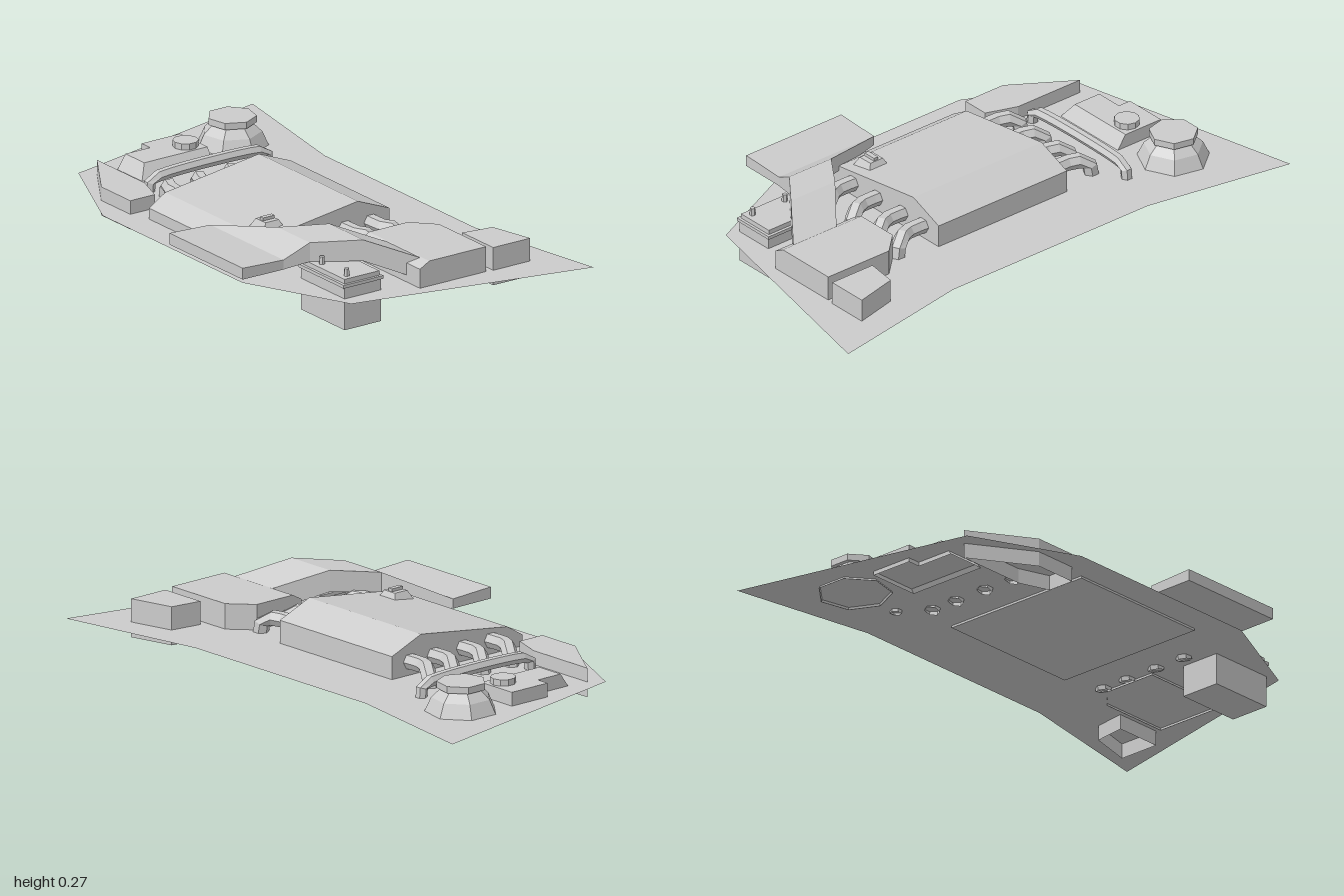
import * as THREE from 'three';

const mat = new THREE.MeshStandardMaterial({ color: 0xcccccc, flatShading: true, side: THREE.DoubleSide });
const FLOOR = 0.115; // height of the base sheet
const SKIRT = 0.107; // open shells reach just through the sheet

function mesh(name, geometry, x = 0, y = 0, z = 0) {
  const m = new THREE.Mesh(geometry, mat);
  m.name = name;
  m.position.set(x, y, z);
  return m;
}

// Skin a list of equal-length rings of [x, y, z]; caps are fans from each ring's first corner
function loft(rings, capStart = true, capEnd = true) {
  const tris = [];
  const n = rings[0].length;
  for (let r = 0; r < rings.length - 1; r++) {
    const a = rings[r], b = rings[r + 1];
    for (let i = 0; i < n; i++) {
      const j = (i + 1) % n;
      tris.push([a[i], a[j], b[j]], [a[i], b[j], b[i]]);
    }
  }
  const last = rings[rings.length - 1];
  for (let i = 1; i < n - 1; i++) {
    if (capStart) tris.push([rings[0][0], rings[0][i + 1], rings[0][i]]);
    if (capEnd) tris.push([last[0], last[i], last[i + 1]]);
  }
  // Turn every face outward, judged by the enclosed volume
  const centre = new THREE.Vector3();
  rings.flat().forEach(p => centre.add(new THREE.Vector3(...p)));
  centre.divideScalar(rings.length * n);
  let volume = 0;
  for (const t of tris) {
    const [a, b, c] = t.map(p => new THREE.Vector3(...p).sub(centre));
    volume += a.dot(b.cross(c));
  }
  if (volume < 0) tris.forEach(t => t.reverse());
  const g = new THREE.BufferGeometry();
  g.setAttribute('position', new THREE.Float32BufferAttribute(tris.flat(2), 3));
  g.computeVertexNormals();
  return g;
}

const ringAt = (outline, y) => outline.map(([x, z]) => [x, y, z]);
// Upright shell with an open bottom
const shell = (outline, y0, y1, top = outline) => loft([ringAt(outline, y0), ringAt(top, y1)], false);

function tube(points, radius, segments, sides) {
  const curve = new THREE.CatmullRomCurve3(points.map(p => new THREE.Vector3(...p)));
  return new THREE.TubeGeometry(curve, segments, radius, sides, false);
}

export function createModel() {
  const model = new THREE.Group();
  model.name = 'engineBay';

  // Base sheet
  const sheet = new THREE.Shape([[-1, -0.57], [-0.44, -0.47], [0.44, -0.47], [1, -0.57],
    [0.8, 0.32], [0.41, 0.5], [-0.41, 0.5], [-0.8, 0.32]].map(([x, z]) => new THREE.Vector2(x, -z)));
  model.add(mesh('baseSheet', new THREE.ShapeGeometry(sheet).rotateX(-Math.PI / 2), 0, FLOOR, 0));

  // Engine cover: side profile carried across the width
  const profile = [[SKIRT, 0.39], [0.155, 0.39], [0.198, 0.32], [0.252, -0.08], [0.198, -0.215], [SKIRT, -0.215]];
  model.add(mesh('engineCover', loft([-0.29, 0.29].map(x => profile.map(([y, z]) => [x, y, z])))));

  // Oil filler cap
  const cap = new THREE.Group();
  cap.name = 'oilCap';
  cap.add(mesh('capBase', new THREE.CylinderGeometry(0.04, 0.062, 0.03, 4).rotateY(Math.PI / 4), 0.205, 0.218, 0.245));
  cap.add(mesh('capGrip', new THREE.BoxGeometry(0.018, 0.012, 0.05), 0.205, 0.238, 0.245));
  model.add(cap);

  // Manifold pipes, four per side
  for (const side of [1, -1]) {
    for (const z of [-0.17, -0.06, 0.075, 0.205]) {
      const path = [[0.27, 0.165, z + 0.035], [0.365, 0.167, z + 0.035], [0.425, 0.163, z + 0.005], [0.44, 0.105, z]];
      model.add(mesh('manifoldPipe', tube(path.map(([x, y, pz]) => [side * x, y, pz]), 0.028, 5, 6)));
    }
  }

  // Rail beside the pipes, bent down into the sheet at both ends
  model.add(mesh('rail', tube([[-0.51, 0.105, -0.275], [-0.51, 0.155, -0.268], [-0.51, 0.165, -0.23],
    [-0.51, 0.165, 0.18], [-0.51, 0.155, 0.222], [-0.51, 0.105, 0.23]], 0.021, 14, 6)));

  // Seven-sided tower with a cap
  const tower = new THREE.Group();
  tower.name = 'tower';
  const towerProfile = [[0.132, SKIRT], [0.105, 0.165], [0.07, 0.198]].map(p => new THREE.Vector2(...p));
  tower.add(mesh('towerBase', new THREE.LatheGeometry(towerProfile, 7, Math.PI / 2)));
  tower.add(mesh('towerCap', new THREE.CylinderGeometry(0.087, 0.087, 0.024, 7).rotateY(Math.PI / 2), 0, 0.21, 0));
  tower.position.set(-0.72, 0, -0.277);
  model.add(tower);

  // Reservoir: notched outline, sloping on the inner and front sides
  const tank = [[-0.75, 0.05], [-0.8, 0.05], [-0.8, -0.115], [-0.595, -0.115], [-0.595, 0.2], [-0.75, 0.2]];
  const tankTop = [[-0.75, 0.05], [-0.8, 0.05], [-0.8, -0.115], [-0.64, -0.115], [-0.64, 0.155], [-0.75, 0.155]];
  model.add(mesh('reservoir', shell(tank, 0.1, 0.165, tankTop)));
  model.add(mesh('reservoirCap', new THREE.CylinderGeometry(0.045, 0.045, 0.025, 10), -0.693, 0.175, -0.06));

  // Corner boxes
  model.add(mesh('frontCornerBox', shell([[-0.76, 0.27], [-0.48, 0.27], [-0.365, 0.31],
    [-0.365, 0.415], [-0.535, 0.415]], 0.06, 0.165)));
  model.add(mesh('rearCornerBox', shell([[0.655, -0.39], [0.82, -0.43], [0.82, -0.272], [0.638, -0.272]], 0.06, 0.199)));

  // Air filter box with a chamfered front edge
  const filter = front => [[0.46, front], [0.815, front], [0.815, -0.245], [0.54, -0.245], [0.46, -0.17]];
  model.add(mesh('filterBox', loft([ringAt(filter(0.037), SKIRT), ringAt(filter(0.037), 0.185),
    ringAt(filter(-0.003), 0.207)], false)));

  // Intake duct: sections as z, x from, x to, bottom, top
  const sections = [[0.565, 0.07, 0.5, 0.168, 0.21], [0.39, 0.07, 0.5, 0.167, 0.202], [0.3, 0.34, 0.53, 0.185, 0.255],
    [0.155, 0.445, 0.645, 0.19, 0.268], [0, 0.57, 0.765, 0.125, 0.205]];
  model.add(mesh('intakeDuct', loft(sections.map(([z, x0, x1, y0, y1]) =>
    [[x0, y0, z], [x1, y0, z], [x1, y1, z], [x0, y1, z]]))));

  // Battery, hanging through the sheet
  const battery = new THREE.Group();
  battery.name = 'battery';
  battery.add(mesh('batteryCase', new THREE.BoxGeometry(0.255, 0.162, 0.155), 0, 0.081, 0));
  battery.add(mesh('batteryRim', new THREE.BoxGeometry(0.265, 0.012, 0.17), 0, 0.162, 0));
  battery.add(mesh('batteryLid', new THREE.BoxGeometry(0.245, 0.018, 0.148), 0, 0.176, 0));
  for (const x of [-0.05, 0.095]) {
    battery.add(mesh('terminal', new THREE.CylinderGeometry(0.009, 0.011, 0.028, 6), x, 0.198, 0.045));
  }
  battery.position.set(0.62, 0, 0.232);
  model.add(battery);

  return model;
}
